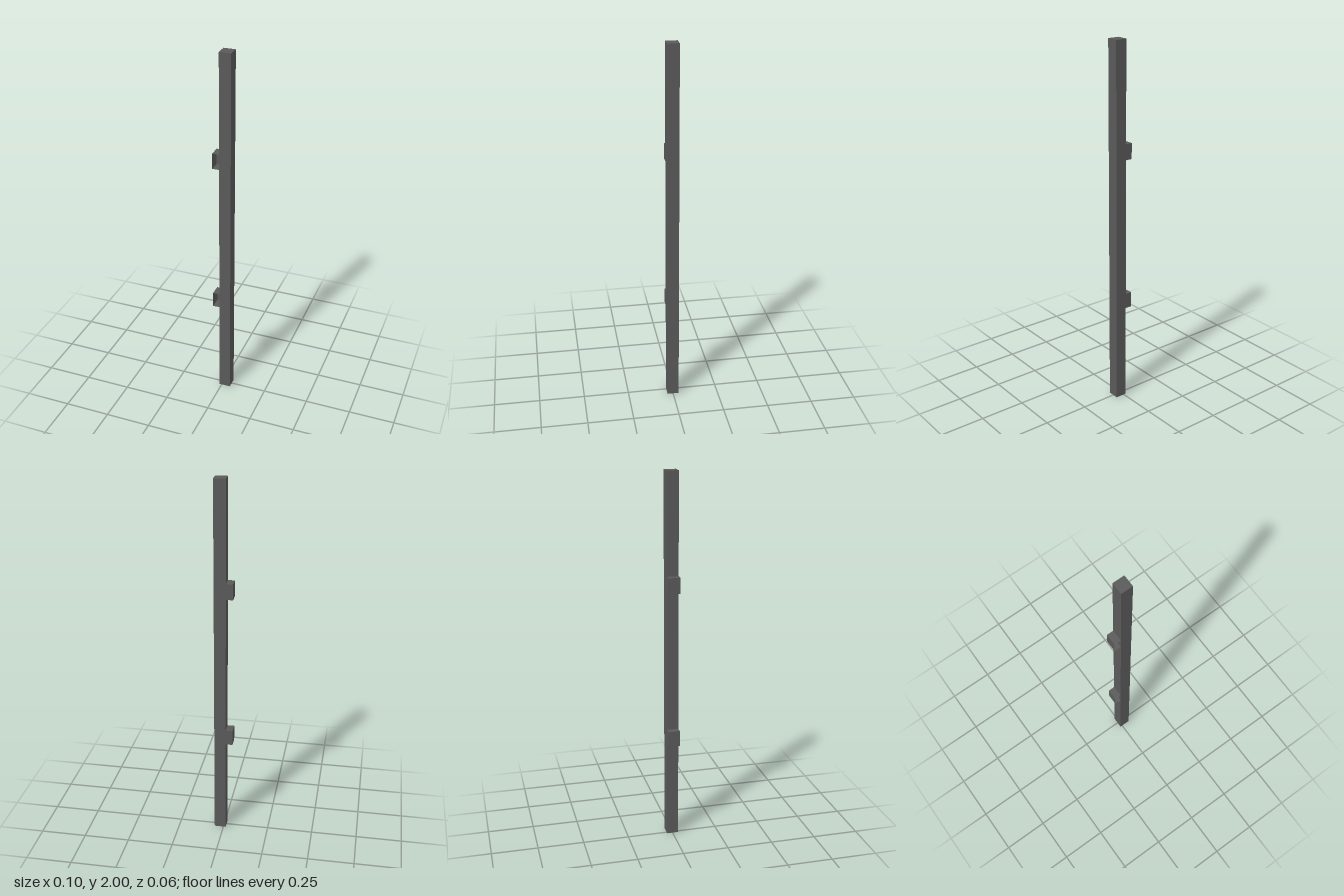
import * as THREE from 'three';

const DEPTH = 0.063;
const POST_WIDTH = 0.063;
const BRACKET_WIDTH = 0.037;
const BRACKET_HEIGHT = 0.085;

export function createModel() {
  const group = new THREE.Group();
  const material = new THREE.MeshStandardMaterial({ color: 0x5a5a5a });
  const shellMaterial = material.clone();
  shellMaterial.side = THREE.DoubleSide;

  // Tall square post
  const post = new THREE.Mesh(new THREE.BoxGeometry(POST_WIDTH, 2, DEPTH), material);
  post.name = 'post';
  post.position.set(0.05 - POST_WIDTH / 2, 1, 0);
  group.add(post);

  // Thin bracket shell: outer side, top, bottom and back; open at the front and against the post
  const shell = new THREE.BoxGeometry(BRACKET_WIDTH, BRACKET_HEIGHT, DEPTH);
  const faces = Array.from(shell.index.array);
  shell.setIndex([...faces.slice(6, 24), ...faces.slice(30, 36)]);
  shell.clearGroups();

  for (const [name, y] of [['lowerBracket', 0.582], ['upperBracket', 1.423]]) {
    const bracket = new THREE.Mesh(shell, shellMaterial);
    bracket.name = name;
    bracket.position.set(-0.05 + BRACKET_WIDTH / 2, y, 0);
    group.add(bracket);
  }

  return group;
}
